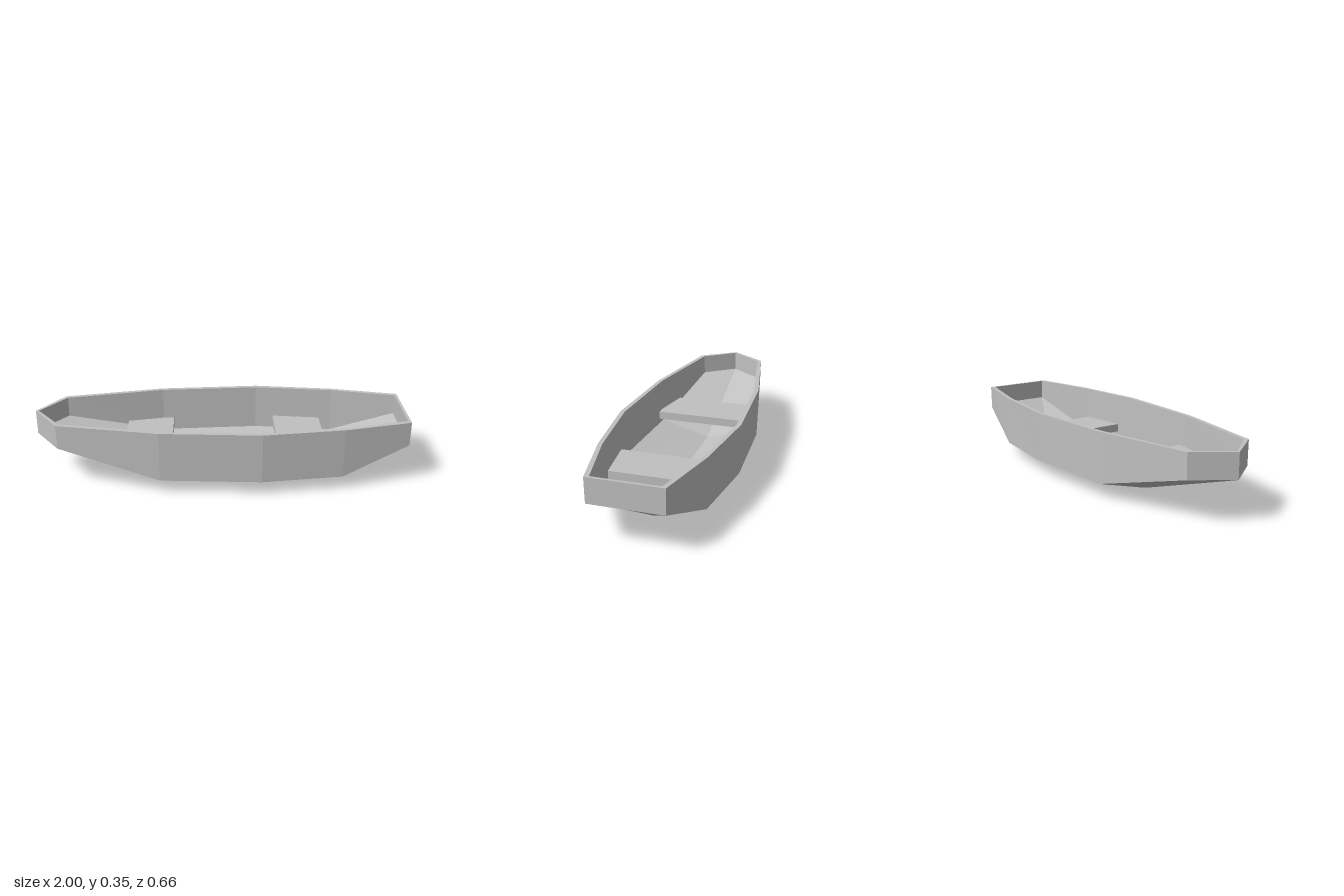
import * as THREE from 'three';

// Stations from bow to stern: [x, half width, chine height, keel height]
const OUTER = [
  [-1, 0, 0.22, 0.22],
  [-0.865, 0.195, 0.22, 0.176],
  [-0.325, 0.3, 0.08, 0.002],
  [0.21, 0.33, 0.08, 0.002],
  [0.64, 0.276, 0.08, 0.002],
  [1, 0.193, 0.22, 0.22],
];
const INNER = [
  [-0.983, 0, 0.245, 0.245],
  [-0.853, 0.173, 0.245, 0.201],
  [-0.325, 0.277, 0.107, 0.028],
  [0.21, 0.306, 0.107, 0.028],
  [0.64, 0.253, 0.107, 0.028],
  [0.985, 0.171, 0.245, 0.245],
];
const RIM = 0.353;

// One side-to-side section: rim, chine, keel, chine, rim
function section([x, w, chine, keel]) {
  const c = w * 0.99;
  return [[x, RIM, w], [x, chine, c], [x, keel, 0], [x, chine, -c], [x, RIM, -w]];
}

// Hull shell: outer and inner skins joined by the rim
function hullGeometry() {
  const rings = OUTER.map((s, i) => [...section(s), ...section(INNER[i]).reverse()]);
  const positions = [];
  const quad = (a, b, c, d) => positions.push(...a, ...b, ...c, ...a, ...c, ...d);
  for (let i = 0; i < rings.length - 1; i++) {
    const n = rings[i].length;
    for (let j = 0; j < n; j++) {
      const k = (j + 1) % n;
      quad(rings[i][j], rings[i][k], rings[i + 1][k], rings[i + 1][j]);
    }
  }
  // Transom, outside and inside, with the rim strip between them
  const e = rings[rings.length - 1];
  quad(e[0], e[1], e[3], e[4]);
  quad(e[5], e[6], e[8], e[9]);
  quad(e[0], e[4], e[5], e[9]);
  const geometry = new THREE.BufferGeometry();
  geometry.setAttribute('position', new THREE.Float32BufferAttribute(positions, 3));
  geometry.computeVertexNormals();
  return geometry;
}

// Inner half width at x
function innerWidth(x) {
  const i = INNER.findIndex((s) => s[0] > x);
  const [a, b] = [INNER[i - 1], INNER[i]];
  return THREE.MathUtils.lerp(a[1], b[1], (x - a[0]) / (b[0] - a[0]));
}

// Bench: a flat slab fitted between the side walls
function benchGeometry(xs) {
  const edge = xs.map((x) => new THREE.Vector2(x, innerWidth(x)));
  const other = edge.map((p) => new THREE.Vector2(p.x, -p.y)).reverse();
  const shape = new THREE.Shape([...edge, ...other]);
  return new THREE.ExtrudeGeometry(shape, { depth: 0.045, bevelEnabled: false })
    .rotateX(-Math.PI / 2)
    .translate(0, 0.134, 0);
}

export function createModel() {
  const grey = new THREE.MeshStandardMaterial({ color: 0xc0c0c0, flatShading: true });
  grey.name = 'grey';
  const boat = new THREE.Group();
  boat.name = 'rowingBoat';
  const add = (name, geometry) => {
    const mesh = new THREE.Mesh(geometry, grey);
    mesh.name = name;
    boat.add(mesh);
  };
  add('hull', hullGeometry());
  add('bowBench', benchGeometry([-0.525, -0.325, -0.265]));
  add('sternBench', benchGeometry([0.31, 0.575]));
  return boat;
}
